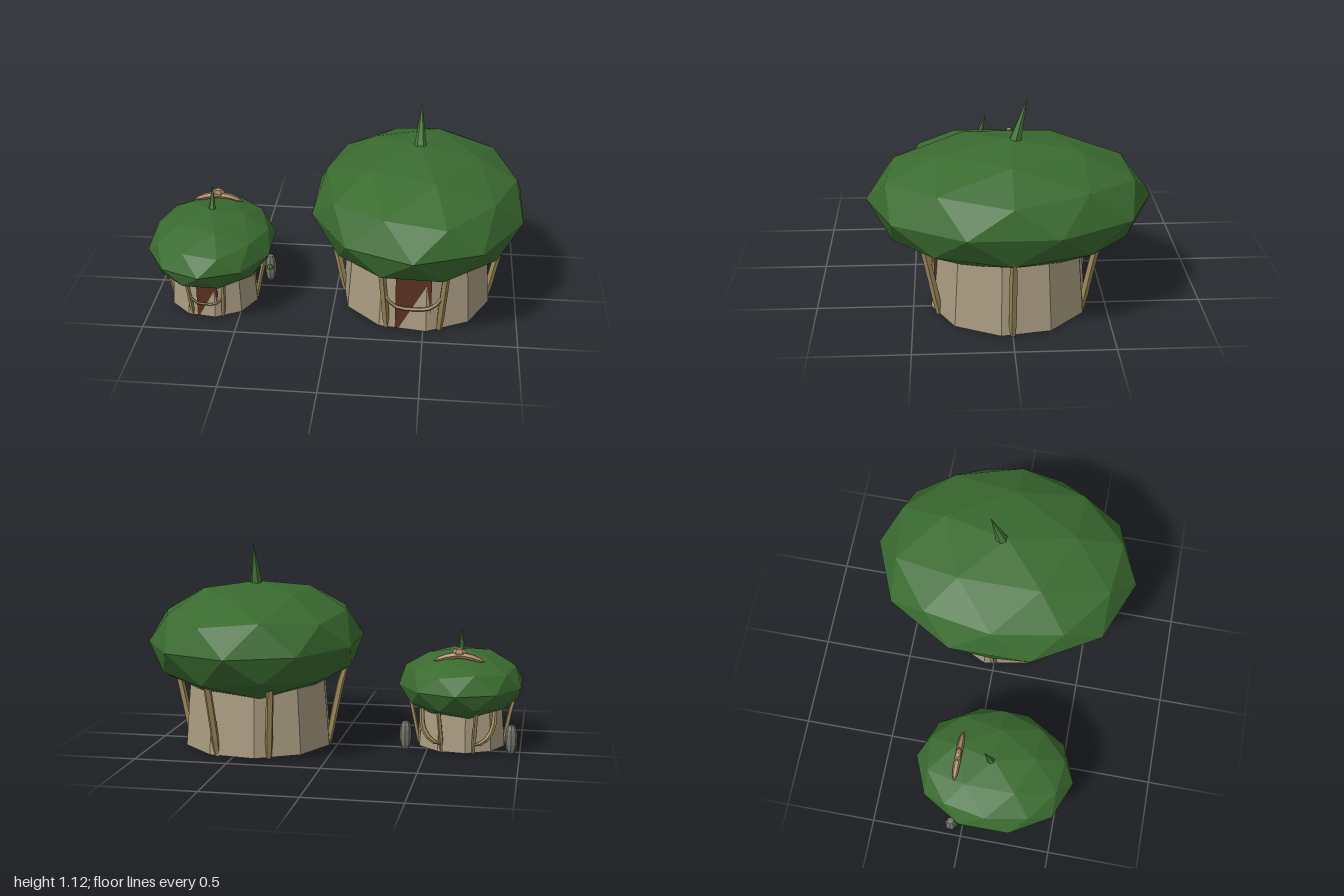
import * as THREE from 'three';

const mat = (name, color, side = THREE.FrontSide) =>
  Object.assign(new THREE.MeshStandardMaterial({ color, side }), { name });

const V = (x, y, z) => new THREE.Vector3(x, y, z);

// Faceted mesh: unshared corners give flat normals
function part(name, geometry, material) {
  const g = geometry.index ? geometry.toNonIndexed() : geometry;
  g.computeVertexNormals();
  const mesh = new THREE.Mesh(g, material);
  mesh.name = name;
  return mesh;
}

// Tube along a curve whose rings follow a list of radii
function pole(points, radii, sides) {
  const curve = new THREE.CatmullRomCurve3(points);
  const steps = radii.length - 1;
  const g = new THREE.TubeGeometry(curve, steps, 1, sides);
  const pos = g.attributes.position, v = V(0, 0, 0);
  for (let i = 0; i <= steps; i++) {
    const c = curve.getPointAt(i / steps);
    for (let j = 0; j <= sides; j++) {
      const k = i * (sides + 1) + j;
      v.fromBufferAttribute(pos, k).sub(c).multiplyScalar(radii[i]).add(c);
      pos.setXYZ(k, v.x, v.y, v.z);
    }
  }
  return g;
}

export function createModel() {
  const leaf = mat('roof green', 0x3a6b30);
  const sprout = mat('spire green', 0x47783a);
  const plaster = mat('wall plaster', 0xa89a80);
  const wood = mat('pole wood', 0x9c8759, THREE.DoubleSide);
  const doorBrown = mat('door brown', 0x5a3222);
  const stone = mat('lantern grey', 0x74746c);
  const ridgeWood = mat('ridge wood', 0xa98a66);

  function hut(name) {
    const g = new THREE.Group();
    g.name = name;

    // Leaning ten-sided wall
    const wall = new THREE.CylinderGeometry(0.378, 0.413, 0.44, 10, 1, false, Math.PI / 18);
    wall.translate(0, 0.228, 0);
    g.add(part('wall', wall, plaster));

    // Faceted oval roof with a corner at its peak
    const roof = new THREE.IcosahedronGeometry(1, 1);
    roof.rotateZ(-Math.atan(2 / (1 + Math.sqrt(5))));
    roof.scale(0.584, 0.315, 0.728).translate(0, 0.59, 0);
    g.add(part('roof', roof, leaf));

    // Spire leaning backwards
    g.add(part('spire', pole([V(0, 0.86, -0.023), V(0, 1.118, -0.092)], [0.038, 0.019, 0], 6), sprout));

    // Six splayed poles with pointed tops
    const legRadii = [0.016, 0.021, 0.021, 0.021, 0.021, 0.016, 0];
    for (const [x, z] of [[1, 0], [0.36, 0.93], [-0.36, 0.93], [-1, 0], [-0.36, -0.93], [0.36, -0.93]]) {
      const path = [[0.392, 0.004], [0.44, 0.25], [0.48, 0.42], [0.527, 0.52]]
        .map(([r, y]) => V(r * x, y, r * z));
      g.add(part('supportPole', pole(path, legRadii, 5), wood));
    }

    // Door set into the front wall
    const door = new THREE.BoxGeometry(0.19, 0.3, 0.04);
    door.translate(0, 0.16, 0.366);
    g.add(part('door', door, doorBrown));

    // Garland hanging between the front poles
    const rope = [[-0.16, 0.35], [-0.15, 0.22], [-0.09, 0.155], [0, 0.143], [0.09, 0.155], [0.15, 0.22], [0.16, 0.35]]
      .map(([x, y]) => V(x, y, 0.408));
    g.add(part('garland', pole(rope, Array(15).fill(0.011), 5), wood));
    return g;
  }

  const model = new THREE.Group();
  model.name = 'hutPair';

  const large = hut('largeHut');
  large.position.x = 0.445;
  const small = hut('smallHut');
  small.scale.setScalar(0.594);
  small.position.set(-0.67, 0.004, 0.135);
  model.add(large, small);

  const extras = new THREE.Group();
  extras.name = 'smallHutFittings';
  extras.position.copy(small.position);
  model.add(extras);

  // Curved ridge bar with a knob on the back of the small roof
  const bar = pole([V(-0.14, 0.495, -0.195), V(-0.07, 0.52, -0.195), V(0, 0.53, -0.195),
    V(0.07, 0.52, -0.195), V(0.14, 0.495, -0.195)], [0, 0.014, 0.017, 0.018, 0.018, 0.018, 0.017, 0.014, 0], 6);
  extras.add(part('ridgeBar', bar, ridgeWood));
  const knob = new THREE.SphereGeometry(1, 6, 4);
  knob.scale(0.038, 0.027, 0.02).translate(0, 0.545, -0.195);
  extras.add(part('ridgeKnob', knob, ridgeWood));

  for (const s of [-1, 1]) {
    // Tusk-like bracket curving up from the back wall
    const tusk = [V(0.085 * s, 0.05, -0.235), V(0.14 * s, 0.075, -0.25),
      V(0.185 * s, 0.14, -0.235), V(0.195 * s, 0.25, -0.205)];
    extras.add(part('bracket', pole(tusk, [0.004, 0.013, 0.015, 0.015, 0.015, 0.014, 0.012], 6), wood));

    // Tall lantern with a green boss on its front
    const profile = [[0, 0.005], [0.018, 0.007], [0.027, 0.03], [0.032, 0.06], [0.032, 0.11], [0.027, 0.138], [0.018, 0.158], [0, 0.161]]
      .map(([r, y]) => new THREE.Vector2(r, y));
    const lantern = new THREE.LatheGeometry(profile, 8);
    lantern.translate(0.284 * s, 0, -0.195);
    extras.add(part('lantern', lantern, stone));
    const boss = new THREE.SphereGeometry(0.02, 8, 5);
    boss.translate(0.284 * s, 0.098, -0.172);
    extras.add(part('lanternBoss', boss, sprout));
  }
  return model;
}
